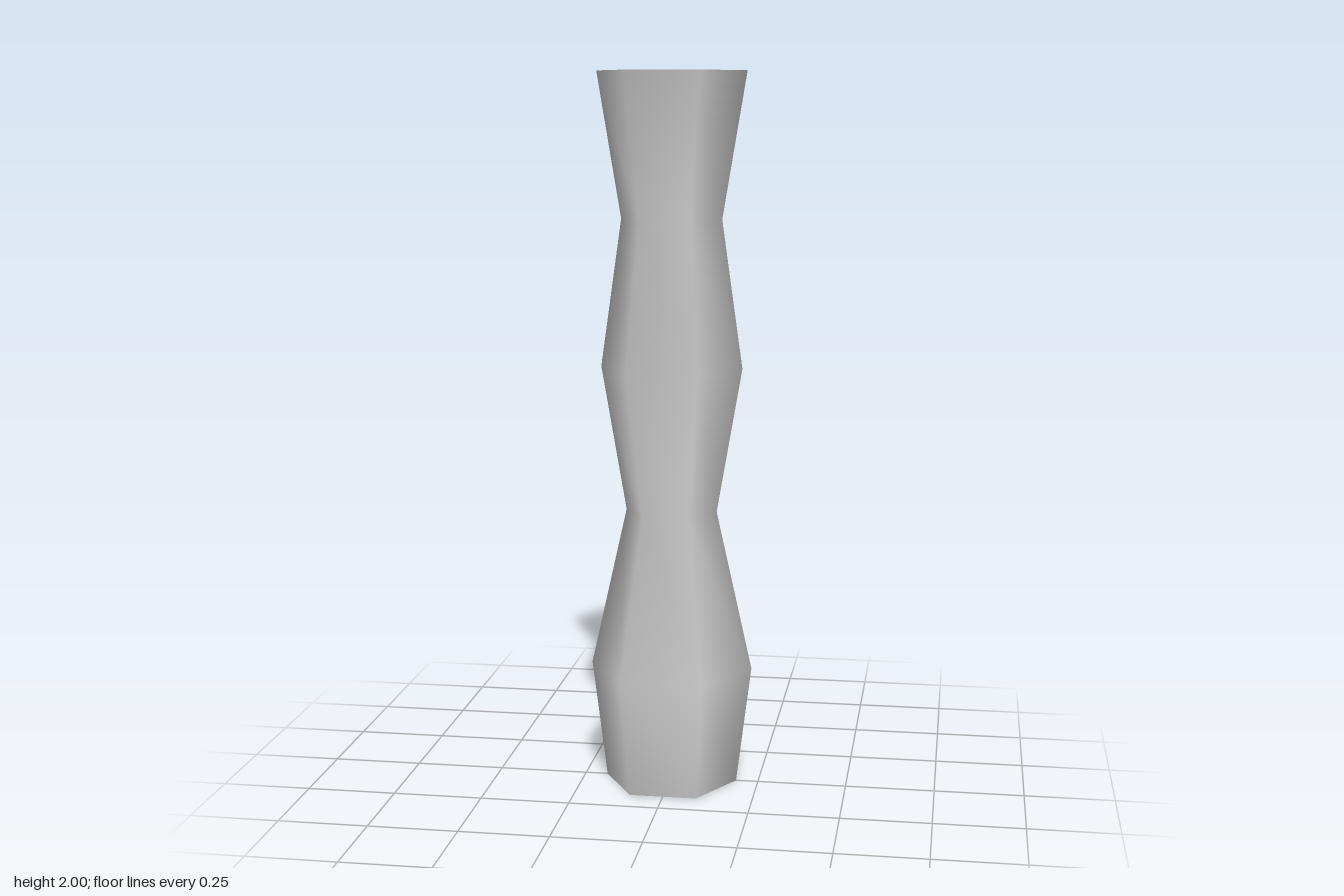
import * as THREE from 'three';

// Radius and height of each ring, bottom to top
const PROFILE = [
  [0.187, 0], [0.229, 0.335], [0.128, 0.785],
  [0.198, 1.19], [0.14, 1.6], [0.207, 2],
];
const SIDES = 6;

export function createModel() {
  const group = new THREE.Group();
  group.name = 'column';
  const material = new THREE.MeshStandardMaterial({ color: 0xcccccc });

  function add(name, geometry) {
    const mesh = new THREE.Mesh(geometry, material);
    mesh.name = name;
    group.add(mesh);
    return mesh;
  }

  // Smooth-shaded six-sided shaft, with corners on the x axis
  const points = PROFILE.map(([r, y]) => new THREE.Vector2(r, y));
  add('shaft', new THREE.LatheGeometry(points, SIDES, Math.PI / 2));

  // Flat hexagonal end caps
  function addCap(name, [radius, y], facing) {
    const cap = add(name, new THREE.CircleGeometry(radius, SIDES));
    cap.rotation.x = -facing * Math.PI / 2;
    cap.position.y = y;
  }
  addCap('bottomCap', PROFILE[0], -1);
  addCap('topCap', PROFILE[PROFILE.length - 1], 1);

  return group;
}
